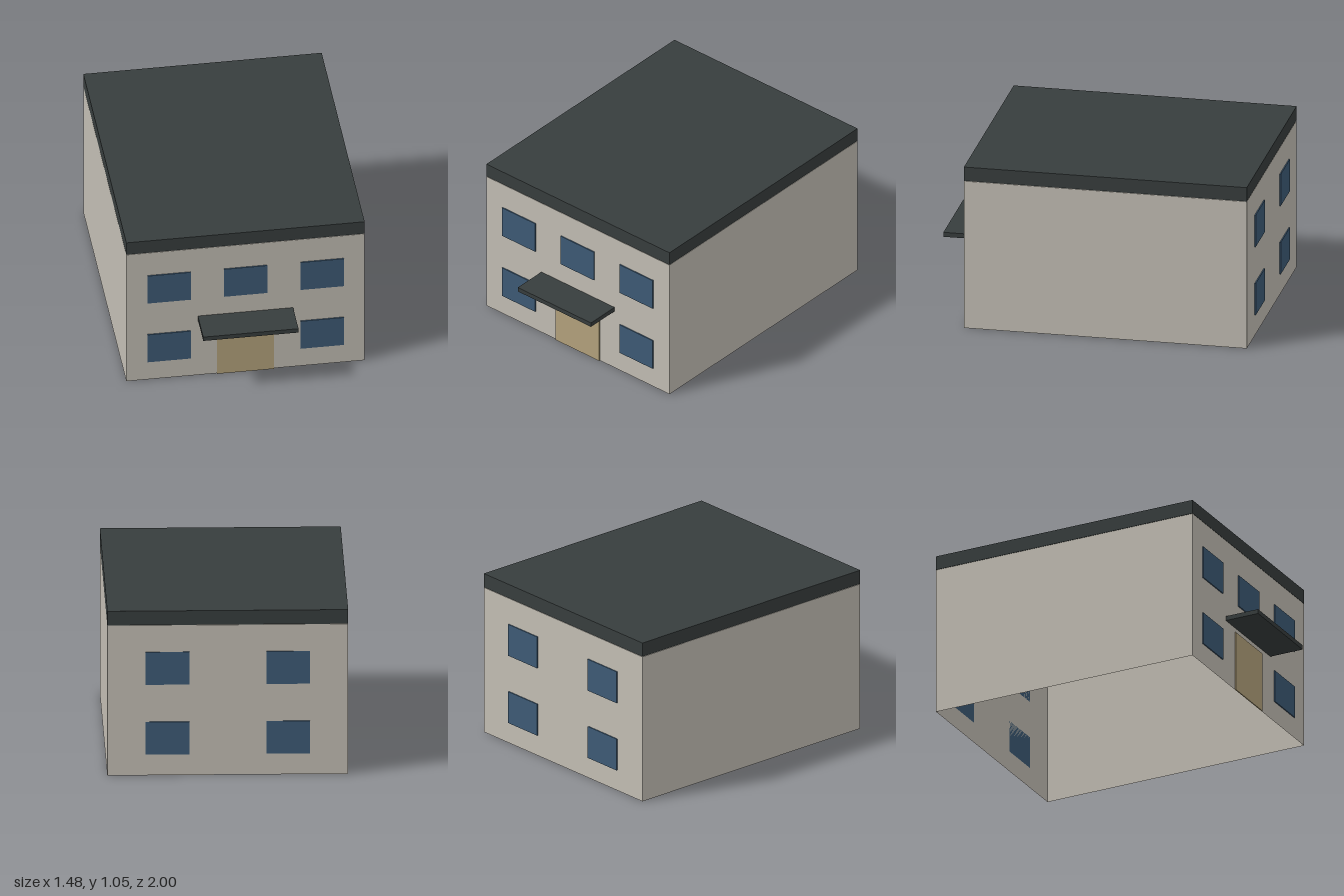
import * as THREE from 'three';

const paint = (name, color, side = THREE.FrontSide) => {
  const m = new THREE.MeshStandardMaterial({ color, side });
  m.name = name;
  return m;
};

export function createModel() {
  const house = new THREE.Group();
  house.name = 'house';
  const wall = paint('warm grey wall', 0xc2bdb3, THREE.DoubleSide);
  const slate = paint('dark slate', 0x373d3d);
  const glass = paint('blue glass', 0x3d5a75);
  const wood = paint('tan door', 0xb3a27c);

  const HALF = 0.738, FRONT = 0.778, BACK = -0.993, EAVES = 0.96, TOP = 1.05, PLATE = 0.007;

  // Box given by its limits on each axis
  const block = (name, material, x0, x1, y0, y1, z0, z1) => {
    const mesh = new THREE.Mesh(new THREE.BoxGeometry(x1 - x0, y1 - y0, z1 - z0), material);
    mesh.position.set((x0 + x1) / 2, (y0 + y1) / 2, (z0 + z1) / 2);
    mesh.name = name;
    house.add(mesh);
    return mesh;
  };

  // Hollow shell: four walls and a ceiling, open underneath
  const shell = block('walls', wall, -HALF, HALF, 0, EAVES - 0.002, BACK, FRONT).geometry;
  const index = Array.from(shell.index.array);
  index.splice(18, 6);
  shell.setIndex(index);
  shell.clearGroups();

  // Flat roof, entrance canopy and door
  block('roof', slate, -HALF, HALF, EAVES, TOP, BACK, FRONT);
  block('canopy', slate, -0.295, 0.295, 0.418, 0.447, FRONT - 0.006, 1);
  block('door', wood, -0.177, 0.177, 0, 0.387, FRONT, FRONT + PLATE);

  // Windows, as thin panes on the front and back
  const pane = (name, x, y, z) =>
    block(name, glass, x - 0.134, x + 0.134, y - 0.104, y + 0.104, z, z + PLATE);
  for (const y of [0.238, 0.684]) {
    for (const side of [-1, 1]) {
      pane('frontWindow', side * 0.474, y, FRONT);
      pane('backWindow', side * 0.37, y, BACK - PLATE);
    }
  }
  pane('frontWindow', 0, 0.684, FRONT);

  return house;
}
